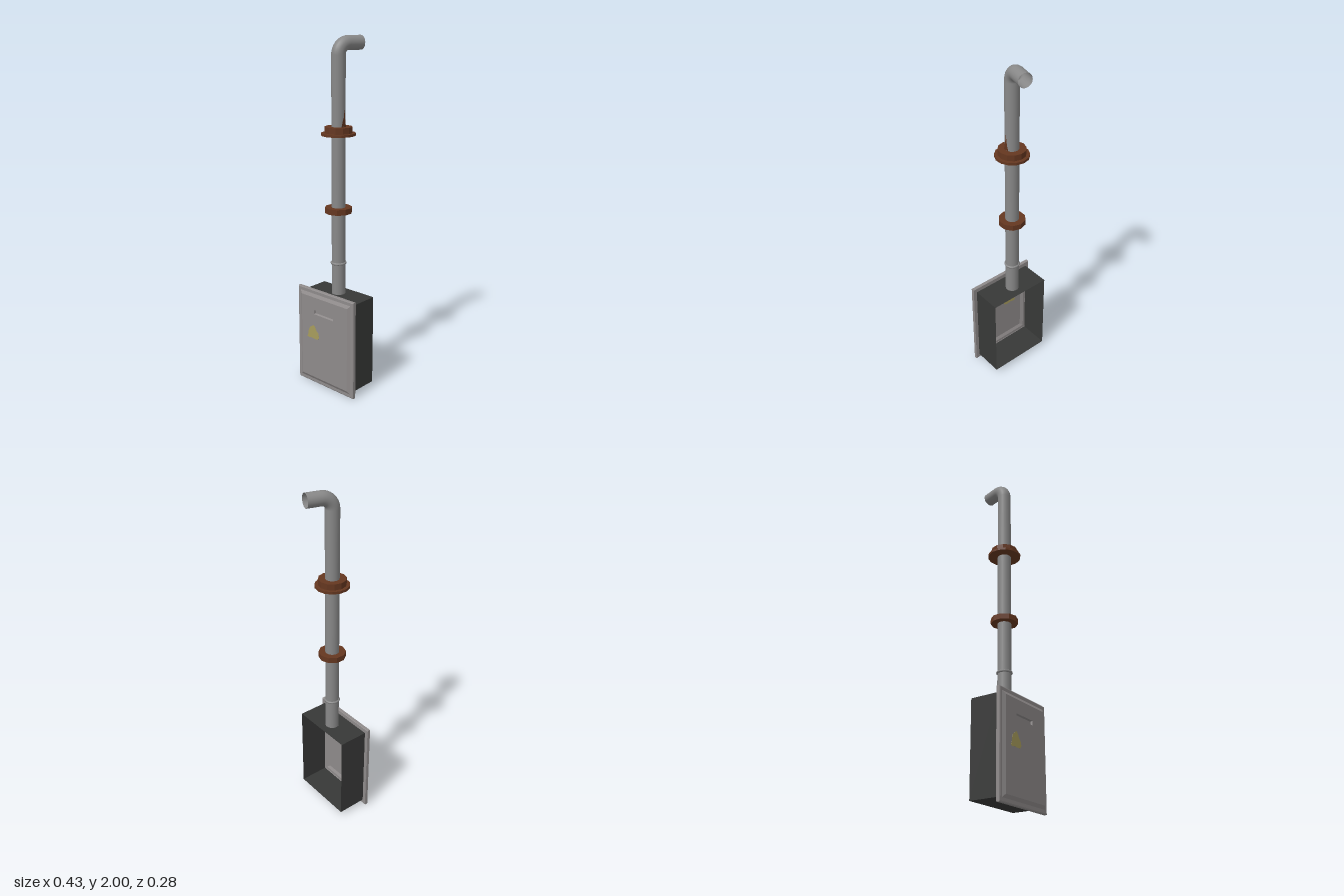
import * as THREE from 'three';

const mat = (name, color) => {
  const m = new THREE.MeshStandardMaterial({ color, side: THREE.DoubleSide });
  m.name = name;
  return m;
};

// Shell through a series of rectangles [halfWidth, halfHeight, z], back to front
function rectShell(loops, cx, cy) {
  const pos = [];
  const corner = ([w, h, z], i) => {
    const sx = [-1, 1, 1, -1][i % 4], sy = [-1, -1, 1, 1][i % 4];
    return [cx + sx * w, cy + sy * h, z];
  };
  for (let k = 0; k < loops.length - 1; k++) {
    for (let i = 0; i < 4; i++) {
      const a = corner(loops[k], i), b = corner(loops[k], i + 1);
      const c = corner(loops[k + 1], i + 1), d = corner(loops[k + 1], i);
      pos.push(...a, ...b, ...c, ...a, ...c, ...d);
    }
  }
  const g = new THREE.BufferGeometry();
  g.setAttribute('position', new THREE.Float32BufferAttribute(pos, 3));
  g.computeVertexNormals();
  return g;
}

function rectPath(path, w, h, cx, cy) {
  path.moveTo(cx - w, cy - h);
  path.lineTo(cx + w, cy - h);
  path.lineTo(cx + w, cy + h);
  path.lineTo(cx - w, cy + h);
  path.closePath();
  return path;
}

export function createModel() {
  const model = new THREE.Group();
  model.name = 'electricCabinet';
  const doorGrey = mat('doorGrey', 0x8e8a8a);
  const pipeGrey = mat('pipeGrey', 0x888888);
  const boxDark = mat('boxDark', 0x373837);
  const rust = mat('rust', 0x653720);
  const yellow = mat('fadedYellow', 0xa79c5c);

  const add = (name, geo, material, x = 0, y = 0, z = 0, parent = model) => {
    const m = new THREE.Mesh(geo, material);
    m.name = name;
    m.position.set(x, y, z);
    parent.add(m);
    return m;
  };

  const CY = 0.2925, PX = -0.003, PZ = 0.01, R = 0.039;

  // Housing: four walls, open at the back
  const housing = new THREE.Group();
  housing.name = 'housing';
  model.add(housing);
  const zMid = 0.0185, depth = 0.177;
  for (const s of [-1, 1]) {
    add('sideWall', new THREE.PlaneGeometry(depth, 0.53), boxDark, s * 0.191, CY, zMid, housing)
      .rotation.y = s * Math.PI / 2;
  }
  add('bottomWall', new THREE.PlaneGeometry(0.382, depth), boxDark, 0, CY - 0.265, zMid, housing)
    .rotation.x = Math.PI / 2;
  // Top wall with the pipe opening
  const top = rectPath(new THREE.Shape(), 0.191, depth / 2, 0, 0);
  top.holes.push(new THREE.Path().absarc(PX, zMid - PZ, R, 0, Math.PI * 2, true));
  add('topWall', new THREE.ShapeGeometry(top, 20), boxDark, 0, CY + 0.265, zMid, housing)
    .rotation.x = -Math.PI / 2;

  // Door: pressed sheet with a rim, a raised panel and a recessed grip
  const door = new THREE.Group();
  door.name = 'door';
  model.add(door);
  const front = 0.138;
  add('doorRim', rectShell([
    [0.191, 0.265, 0.106], [0.213, 0.29, 0.106], [0.214, 0.2925, 0.109], [0.214, 0.2925, 0.125],
    [0.209, 0.2875, 0.128], [0.194, 0.27, 0.128], [0.176, 0.252, front],
  ], 0, CY), doorGrey, 0, 0, 0, door);
  const grip = [0.076, 0.013, -0.003, 0.454];
  const panel = rectPath(new THREE.Shape(), 0.176, 0.252, 0, CY);
  panel.holes.push(rectPath(new THREE.Path(), ...grip));
  add('doorPanel', new THREE.ShapeGeometry(panel), doorGrey, 0, 0, front, door);
  add('gripRecess', rectShell([
    [0.076, 0.013, front], [0.072, 0.009, front - 0.012], [0, 0, front - 0.012],
  ], grip[2], grip[3]), doorGrey, 0, 0, 0, door);

  // Worn warning patch, showing on both faces of the sheet
  const patch = new THREE.Shape([
    [-0.133, 0.29], [-0.118, 0.285], [-0.1, 0.29], [-0.07, 0.287], [-0.048, 0.29], [-0.039, 0.305],
    [-0.045, 0.328], [-0.06, 0.342], [-0.072, 0.365], [-0.085, 0.372], [-0.1, 0.36],
    [-0.112, 0.352], [-0.122, 0.33], [-0.124, 0.31],
  ].map(([x, y]) => new THREE.Vector2(x, y)));
  add('warningPatch', new THREE.ExtrudeGeometry(patch, { depth: 0.002, bevelEnabled: false }),
    yellow, 0, 0, front - 0.001, door);

  // Upright pipe with a bent open outlet
  const y0 = CY + 0.265, y1 = 1.9, bend = 0.061;
  add('pipe', new THREE.CylinderGeometry(R, R, y1 - y0, 20, 1, true), pipeGrey, PX, (y0 + y1) / 2, PZ);
  const along = (d, y) => new THREE.Vector3(PX + d * 0.25, y, PZ - d * 0.968);
  const k = bend * 0.552, yTop = y1 + bend;
  const path = new THREE.CurvePath();
  path.add(new THREE.CubicBezierCurve3(
    along(0, y1), along(0, y1 + k), along(bend - k, yTop), along(bend, yTop)));
  path.add(new THREE.LineCurve3(along(bend, yTop), along(0.145, yTop)));
  add('pipeOutlet', new THREE.TubeGeometry(path, 20, R, 20, false), pipeGrey);

  // Pipe joint ring
  const ring = add('jointRing', new THREE.TorusGeometry(R, 0.007, 8, 20), pipeGrey, PX, 0.742, PZ);
  ring.rotation.x = Math.PI / 2;

  // Rusted flanges
  const flat = (r0, r1, h, n) => {
    const g = new THREE.CylinderGeometry(r0, r1, h, n).toNonIndexed();
    g.computeVertexNormals();
    return g;
  };
  add('lowerFlange', flat(0.077, 0.077, 0.032, 10), rust, PX, 1.054, PZ);
  add('upperFlange', flat(0.077, 0.077, 0.034, 12), rust, PX, 1.503, PZ);
  add('upperFlangeBase', flat(0.095, 0.095, 0.014, 14), rust, PX, 1.479, PZ);

  // Rust streak wrapped on the left of the pipe
  const streak = new THREE.ShapeGeometry(new THREE.Shape([
    [-0.017, 1.52], [0.017, 1.52], [0.01, 1.545], [0.006, 1.575], [0, 1.62], [-0.004, 1.57], [-0.011, 1.55],
  ].map(([x, y]) => new THREE.Vector2(x, y))));
  const p = streak.attributes.position;
  for (let i = 0; i < p.count; i++) {
    const a = p.getX(i) / R;
    p.setXYZ(i, PX + 0.0425 * Math.cos(a), p.getY(i), PZ - 0.0425 * Math.sin(a));
  }
  streak.computeVertexNormals();
  add('rustStreak', streak, rust);

  return model;
}
